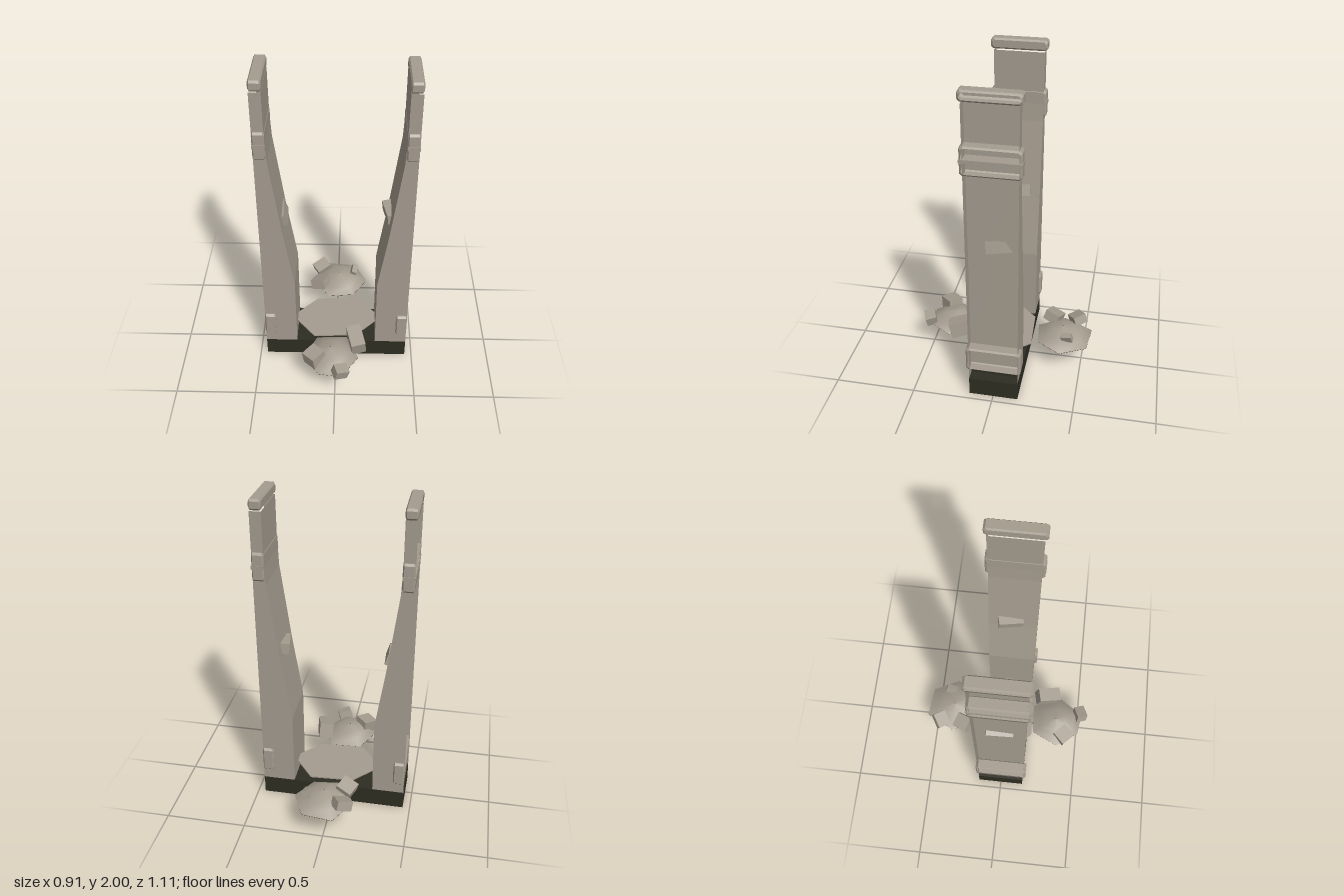
import * as THREE from 'three';

const stone = new THREE.MeshStandardMaterial({ color: 0xa59c8f, side: THREE.DoubleSide });
stone.name = 'warm grey stone';
const dark = new THREE.MeshStandardMaterial({ color: 0x2d2d22, side: THREE.DoubleSide });
dark.name = 'dark soil';

// Surface through cross-sections with equal point counts
function skin(rings, closed, smooth) {
  const n = rings[0].length, index = [];
  for (let i = 0; i < rings.length - 1; i++) {
    for (let j = 0; j < (closed ? n : n - 1); j++) {
      const k = (j + 1) % n, a = i * n, b = a + n;
      index.push(a + j, a + k, b + k, a + j, b + k, b + j);
    }
  }
  let g = new THREE.BufferGeometry();
  g.setAttribute('position', new THREE.Float32BufferAttribute(rings.flat(2), 3));
  g.setIndex(index);
  if (!smooth) g = g.toNonIndexed();
  g.computeVertexNormals();
  return g;
}

function add(parent, name, geometry, material = stone) {
  const m = new THREE.Mesh(geometry, material);
  m.name = name;
  parent.add(m);
  return m;
}

function block(parent, name, size, pos, rot = [0, 0, 0], material = stone) {
  const m = add(parent, name, new THREE.BoxGeometry(...size), material);
  m.position.set(...pos);
  m.rotation.set(...rot);
  return m;
}

// Bevelled band, left open on its outer side
function band(parent, name, y0, y1) {
  const ring = (x, inset, c = 0.012) => {
    const z = 0.168 - inset, a = y0 + inset, b = y1 - inset;
    return [[x, a, z - c], [x, a + c, z], [x, b - c, z], [x, b, z - c],
      [x, b, c - z], [x, b - c, -z], [x, a + c, -z], [x, a, c - z]];
  };
  const mid = Array(8).fill([0.385, (y0 + y1) / 2, 0]);
  const rings = [ring(0.445, 0.01), ring(0.385, 0.01), mid];
  rings.splice(0, 1, ring(0.455, 0.01), ring(0.447, 0), ring(0.393, 0));
  add(parent, name, skin(rings, true).clone());
}

// One upright for the +x side
function buildPost() {
  const post = new THREE.Group();
  const inner = [[0.255, 0.12], [0.255, 0.61], [0.315, 1.0], [0.38, 1.5], [0.388, 1.68], [0.388, 1.93]];

  // tapering front and back faces
  const shape = new THREE.Shape([...inner, [0.455, 1.93], [0.455, 0.12]].map(p => new THREE.Vector2(...p)));
  add(post, 'postFront', new THREE.ShapeGeometry(shape)).position.z = 0.15;
  const back = add(post, 'postBack', new THREE.ShapeGeometry(shape));
  back.position.z = -0.152;

  // bent inner wall
  add(post, 'postInnerWall', skin(inner.map(([x, y]) => [[x, y, 0.15], [x, y, -0.152]]), false));

  // recessed outer panel with a dark foot
  const panel = add(post, 'recessedPanel', new THREE.PlaneGeometry(0.302, 1.77));
  panel.position.set(0.387, 1.045, -0.001);
  panel.rotation.y = Math.PI / 2;
  const foot = add(post, 'panelFoot', new THREE.PlaneGeometry(0.302, 0.04), dark);
  foot.position.set(0.387, 0.14, -0.001);
  foot.rotation.y = Math.PI / 2;

  // bands and cap
  band(post, 'lowerBand', 0.19, 0.355);
  band(post, 'upperBand', 1.525, 1.695);
  band(post, 'cap', 1.937, 2.0);
  block(post, 'upperBandLedge', [0.07, 0.022, 0.342], [0.422, 1.61, 0]);
  return post;
}

// Smooth domed heap with a dark underside
function heap(parent, name, outline, cx, cz) {
  const ring = (s, y) => outline.map(([x, z]) => [cx + (x - cx) * s, y, cz + (z - cz) * s]);
  const rings = [ring(1, 0.186), ring(0.72, 0.222), ring(0.42, 0.247), ring(0.02, 0.26)];
  add(parent, name, skin(rings, true, true));
  add(parent, name + 'Underside', skin([ring(1, 0.184), ring(0.01, 0.184)], true), dark);
}

export function createModel() {
  const model = new THREE.Group();
  model.name = 'ruinedGate';

  block(model, 'base', [0.91, 0.12, 0.302], [0, 0.06, -0.001], [0, 0, 0], dark);

  const left = buildPost();
  left.name = 'leftPost';
  const right = buildPost();
  right.name = 'rightPost';
  right.scale.x = -1;
  model.add(left, right);

  // chips wedged through the uprights
  block(model, 'leftChip', [0.11, 0.07, 0.15], [0.345, 1.06, -0.02], [0.06, 0.2, 0.12]);
  block(model, 'rightChip', [0.1, 0.075, 0.16], [-0.352, 1.035, -0.01], [0.1, 0.06, 0.3]);

  // threshold slab
  const slab = [[-0.14, 0.18], [0.13, 0.165], [0.29, 0], [0.14, -0.185], [-0.13, -0.17], [-0.29, 0]];
  const slabRing = (s, y) => slab.map(([x, z]) => [x * s, y, z * s]);
  add(model, 'thresholdSlab', skin([slabRing(0, 0.186), slabRing(1, 0.186), slabRing(1, 0.194), slabRing(0, 0.194)], true));

  // rubble heaps before and behind the gate
  heap(model, 'frontHeap', [[-0.12, 0.19], [-0.2, 0.36], [-0.1, 0.5], [0.04, 0.52], [0.145, 0.36], [0.07, 0.18]], -0.03, 0.34);
  heap(model, 'backHeap', [[-0.07, -0.555], [-0.165, -0.37], [-0.06, -0.205], [0.11, -0.225], [0.2, -0.37], [0.12, -0.535]], 0.01, -0.37);

  // loose stones: size, position, rotation
  const stones = [
    [[0.09, 0.1, 0.15], [0.13, 0.26, 0.27], [0.25, 0.25, 0.05]],
    [[0.1, 0.085, 0.1], [-0.13, 0.235, 0.4], [0.2, -0.75, 0.2]],
    [[0.085, 0.065, 0.07], [0.035, 0.222, 0.505], [0.2, 0.35, -0.3]],
    [[0.1, 0.06, 0.085], [-0.112, 0.24, -0.455], [0.25, 0.6, 0.2]],
    [[0.1, 0.065, 0.1], [-0.115, 0.235, -0.3], [-0.2, -0.42, 0.25]],
    [[0.035, 0.05, 0.07], [0.113, 0.25, -0.408], [0.25, -0.15, -0.3]],
  ];
  stones.forEach(([s, p, r], i) => block(model, 'looseStone' + (i + 1), s, p, r));
  return model;
}
